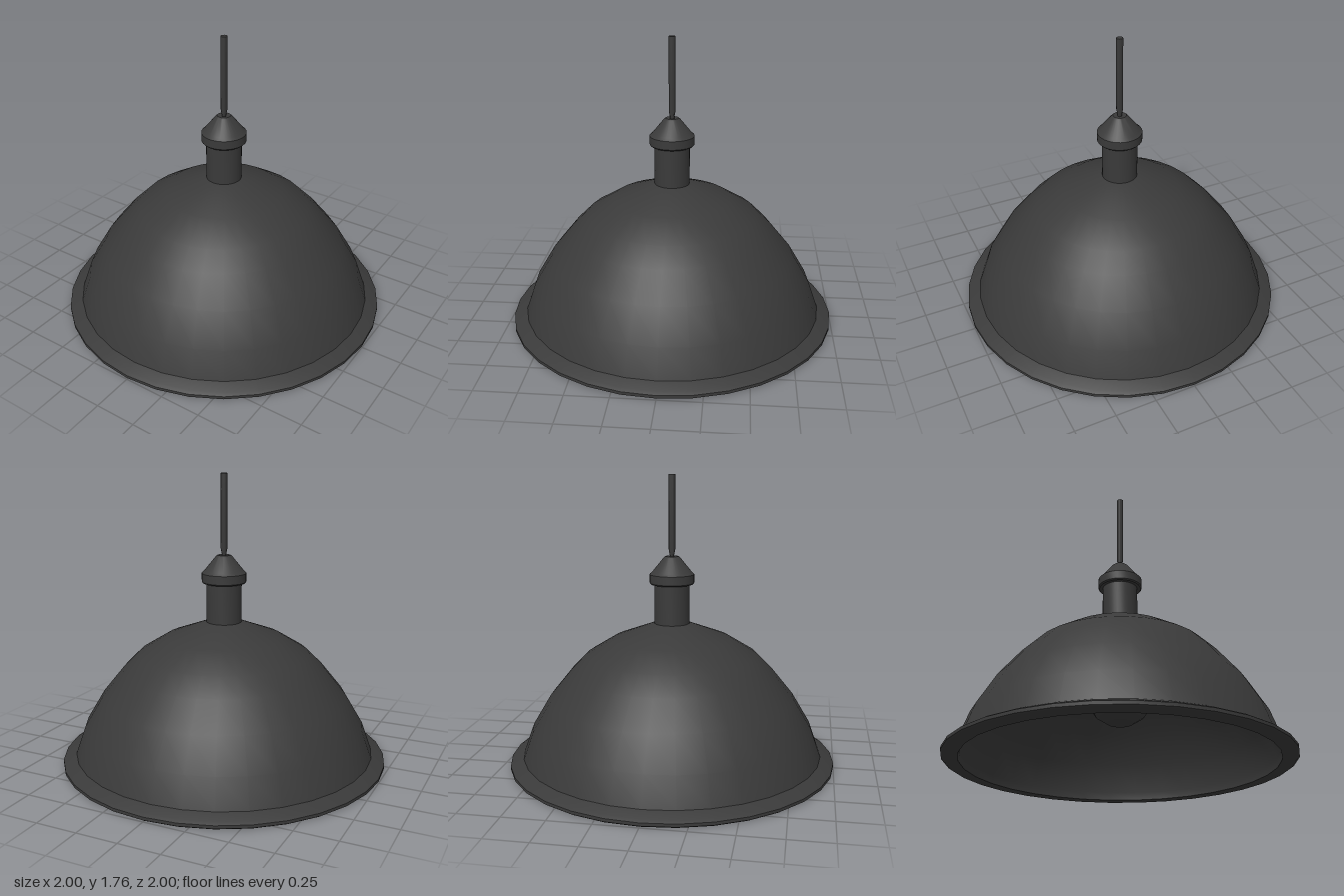
import * as THREE from 'three';
import { toCreasedNormals } from 'three/addons/utils/BufferGeometryUtils.js';

export function createModel() {
  const lamp = new THREE.Group();
  lamp.name = 'pendantLamp';
  const dark = new THREE.MeshStandardMaterial({ color: 0x3a3a3a });

  // Turns a [radius, height] profile around y; profiles run upwards on outer faces
  const turn = (name, profile, sides = 32) => {
    const points = profile.map(([r, y]) => new THREE.Vector2(r, y));
    const lathe = new THREE.LatheGeometry(points, sides);
    const mesh = new THREE.Mesh(toCreasedNormals(lathe, 0.6), dark);
    mesh.name = name;
    lamp.add(mesh);
  };

  // Dome: inner skin downwards, flared rim, then outer skin upwards
  const dome = [[0.92, 0.065], [0.86, 0.235], [0.75, 0.42], [0.62, 0.58], [0.52, 0.68], [0.36, 0.778], [0.11, 0.872]];
  const inner = dome.map(([r, y]) => [r - 0.015, y - 0.015]).reverse();
  turn('shade', [
    [0, 0.857], ...inner, [0.905, 0], [0.985, 0], [1, 0.01], [1, 0.028], [0.98, 0.04],
    ...dome, [0, 0.872],
  ]);

  // Socket housing above the dome
  turn('socketHousing', [[0.107, 0.86], [0.107, 1.13]]);

  // Collar and tapered cap
  turn('cap', [
    [0.1, 1.112], [0.128, 1.112], [0.135, 1.12], [0.135, 1.172], [0.118, 1.188],
    [0.05, 1.272], [0.04, 1.28], [0.022, 1.28], [0, 1.27],
  ]);

  // Hanging cord, pinched where it enters the cap
  turn('cord', [[0.012, 1.26], [0.013, 1.285], [0.02, 1.32], [0.02, 1.765], [0, 1.765]], 12);

  // Light bulb and its holder inside the shade
  turn('bulb', [
    [0, 0.225], [0.075, 0.24], [0.145, 0.285], [0.185, 0.35], [0.192, 0.41],
    [0.17, 0.49], [0.12, 0.57], [0.085, 0.64], [0.075, 0.7],
  ], 16);
  turn('bulbHolder', [[0, 0.69], [0.095, 0.69], [0.095, 0.86]], 16);

  return lamp;
}
